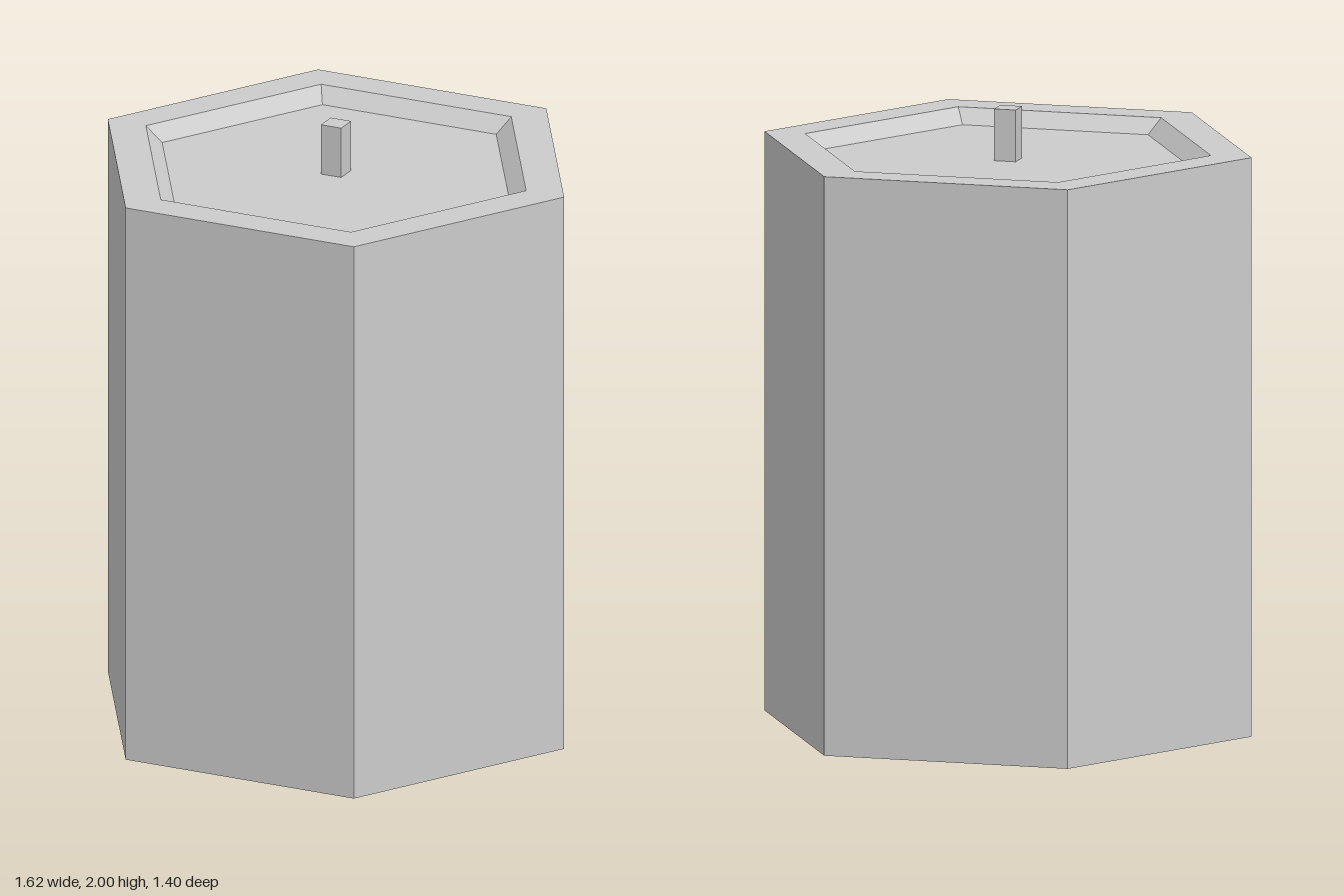
import * as THREE from 'three';

export function createModel() {
  const group = new THREE.Group();
  const material = new THREE.MeshStandardMaterial({ color: 0xcccccc, flatShading: true });

  // Hexagonal body with a shallow, bevelled recess in its top
  const profile = [
    [0, 0], [0.81, 0], [0.81, 1.88], [0.675, 1.88], [0.617, 1.832], [0, 1.832],
  ].map(([r, y]) => new THREE.Vector2(r, y));
  const body = new THREE.Mesh(new THREE.LatheGeometry(profile, 6, Math.PI / 2), material);
  body.name = 'body';
  group.add(body);

  // Square wick standing on the recess floor
  const height = 2 - 1.832;
  const wick = new THREE.Mesh(new THREE.BoxGeometry(0.072, height, 0.072), material);
  wick.position.y = 2 - height / 2;
  wick.name = 'wick';
  group.add(wick);

  return group;
}
